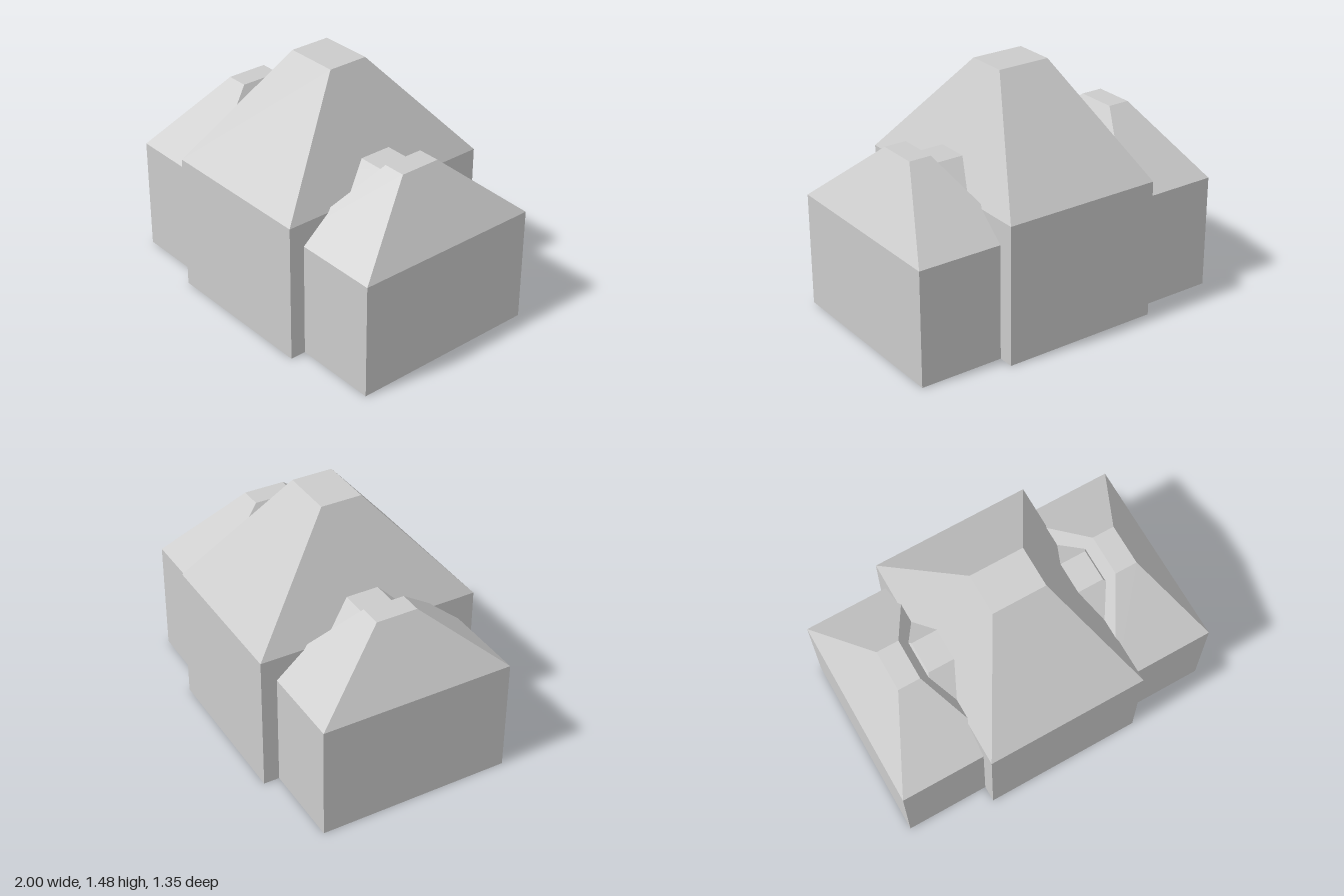
import * as THREE from 'three';

const material = new THREE.MeshStandardMaterial({ color: 0xcccccc, flatShading: true });

// Block with straight walls and a hipped roof cut off flat at the top.
// wall and ridge hold the half width, half depth and height of the eaves and the flat top.
function hippedBlock(name, x, wall, ridge) {
  const box = new THREE.BoxGeometry(2, 2, 2, 1, 2, 1);
  const pos = box.attributes.position;
  for (let i = 0; i < pos.count; i++) {
    const level = Math.round(pos.getY(i)); // -1 ground, 0 eaves, 1 flat top
    const [w, d, h] = level > 0 ? ridge : wall;
    pos.setXYZ(i, pos.getX(i) * w, level < 0 ? 0 : h, pos.getZ(i) * d);
  }
  const geometry = box.toNonIndexed();
  geometry.computeVertexNormals();
  const mesh = new THREE.Mesh(geometry, material);
  mesh.name = name;
  mesh.position.x = x;
  return mesh;
}

export function createModel() {
  const group = new THREE.Group();
  group.name = 'house';

  // Tall central hall
  group.add(hippedBlock('centralHall', 0, [0.488, 0.677, 0.84], [0.163, 0.124, 1.475]));

  // Lower wings on either side
  for (const side of [-1, 1]) {
    group.add(hippedBlock(side > 0 ? 'leftWing' : 'rightWing', side * 0.687,
      [0.313, 0.582, 0.695], [0.068, 0.125, 1.085]));
  }

  // Cross block running through the hall and joining the wings
  group.add(hippedBlock('connectingBlock', 0, [0.85, 0.54, 0.6], [0.557, 0.098, 1.02]));

  return group;
}
